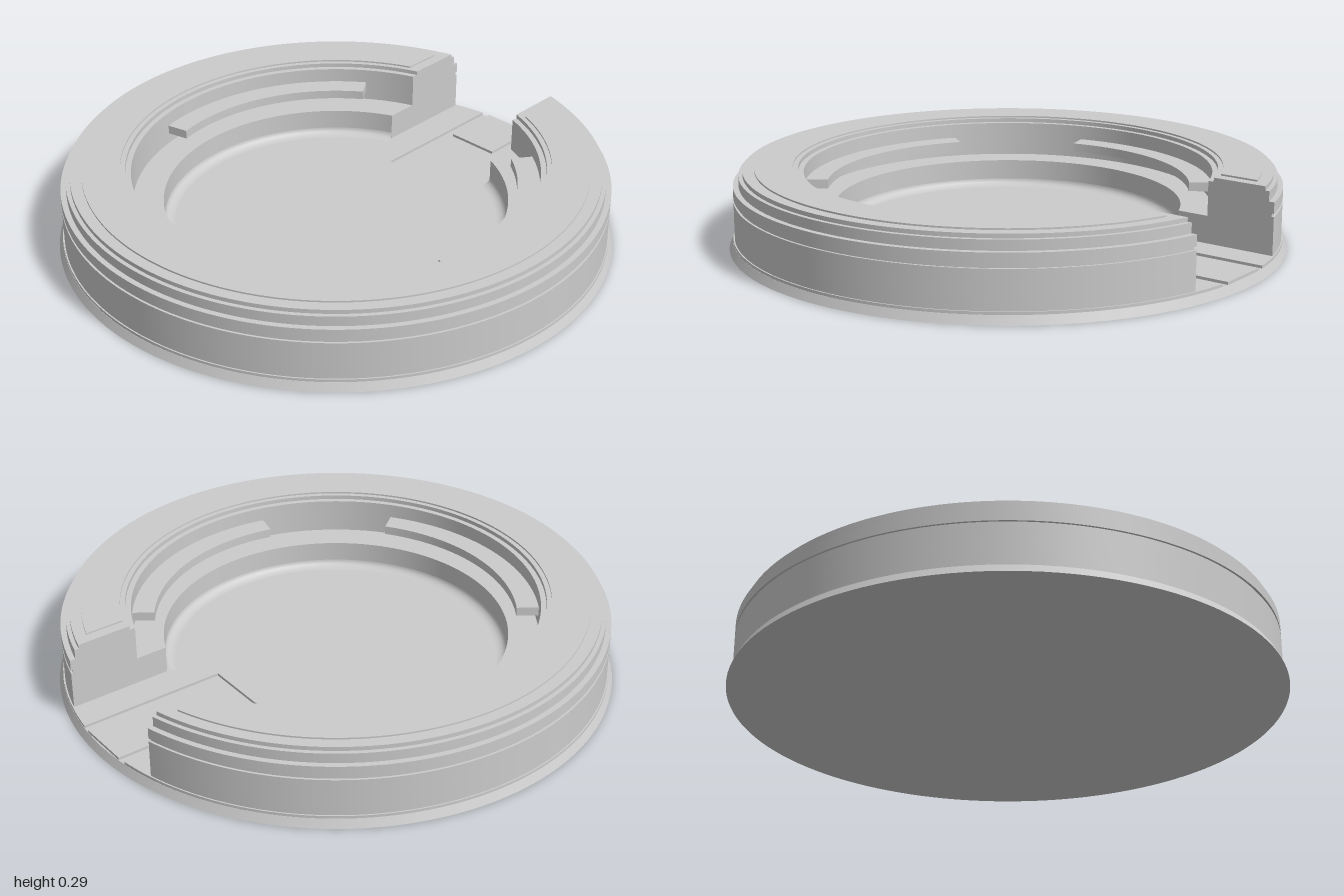
import * as THREE from 'three';
import { toCreasedNormals } from 'three/addons/utils/BufferGeometryUtils.js';

const material = new THREE.MeshStandardMaterial({ color: 0xcccccc, side: THREE.DoubleSide });
const GAP = 0.25; // half width of the opening at the back

// Extrude a plan shape (shape y = -z) upward between two heights
function slab(shape, y0, y1) {
  const geo = new THREE.ExtrudeGeometry(shape, { depth: y1 - y0, bevelEnabled: false, curveSegments: 128 });
  geo.rotateX(-Math.PI / 2);
  geo.translate(0, y0, 0);
  return toCreasedNormals(geo, 0.5);
}

// Ring sector, counter-clockwise from angle a to b; inner arc may use its own angles
function sector(ri, ro, a, b, ai = a, bi = b) {
  const s = new THREE.Shape();
  s.absarc(0, 0, ro, a, b, false);
  s.absarc(0, 0, ri, bi, ai, true);
  s.closePath();
  return s;
}

// Ring with a parallel-sided opening at the back
function openRing(ri, ro, gap = GAP) {
  const o = Math.asin(gap / ro), i = Math.asin(gap / ri), q = Math.PI / 2;
  return sector(ri, ro, q + o, q + 2 * Math.PI - o, q + i, q + 2 * Math.PI - i);
}

export function createModel() {
  const model = new THREE.Group();
  const add = (name, geo) => {
    const mesh = new THREE.Mesh(geo, material);
    mesh.name = name;
    model.add(mesh);
  };

  // Flared foot
  add('baseFoot', toCreasedNormals(new THREE.CylinderGeometry(0.986, 1, 0.03, 128).translate(0, 0.015, 0), 0.5));

  // Floor plate with a shallow channel running in from the back
  const c = 0.13, r = 0.985, t = Math.asin(c / r), q = Math.PI / 2;
  const floor = new THREE.Shape();
  floor.absarc(0, 0, r, q + t, q + 2 * Math.PI - t, false);
  floor.lineTo(c, 0.43);
  floor.lineTo(-c, 0.43);
  floor.closePath();
  add('floorPlate', slab(floor, 0.03, 0.04));
  add('channelTongue', new THREE.BoxGeometry(0.2, 0.01, 0.22).translate(0, 0.035, -0.87));

  // Stepped wall: inner radius, outer radius, bottom, top, half opening
  const layers = [
    ['lowerWallWithLedge', 0.62, 0.98, 0.04, 0.14],
    ['middleWall', 0.73, 0.98, 0.14, 0.178],
    ['wallGroove', 0.73, 0.972, 0.178, 0.19],
    ['upperWall', 0.73, 0.98, 0.19, 0.23],
    ['shoulderStep', 0.73, 0.96, 0.23, 0.266],
    ['topStep', 0.75, 0.945, 0.266, 0.281],
    ['topPad', 0.768, 0.904, 0.281, 0.287, 0.29],
  ];
  for (const [name, ri, ro, y0, y1, gap] of layers) add(name, slab(openRing(ri, ro, gap), y0, y1));

  // Curved foot of the cavity wall
  const cove = [];
  for (let i = 0; i <= 6; i++) {
    const a = (i / 6) * Math.PI / 2;
    cove.push(new THREE.Vector2(0.585 + 0.035 * Math.sin(a), 0.041 + 0.025 * (1 - Math.cos(a))));
  }
  const h = Math.asin(GAP / 0.62);
  add('cavityCove', new THREE.LatheGeometry(cove, 128, Math.PI + h, 2 * Math.PI - 2 * h));

  // Three locking tabs above the ledge
  const deg = Math.PI / 180;
  for (const [name, a, b] of [['frontTab', -126, -54], ['leftTab', -14, 55], ['rightTab', 125, 194]])
    add(name, slab(sector(0.65, 0.735, a * deg, b * deg), 0.18, 0.213));

  return model;
}
